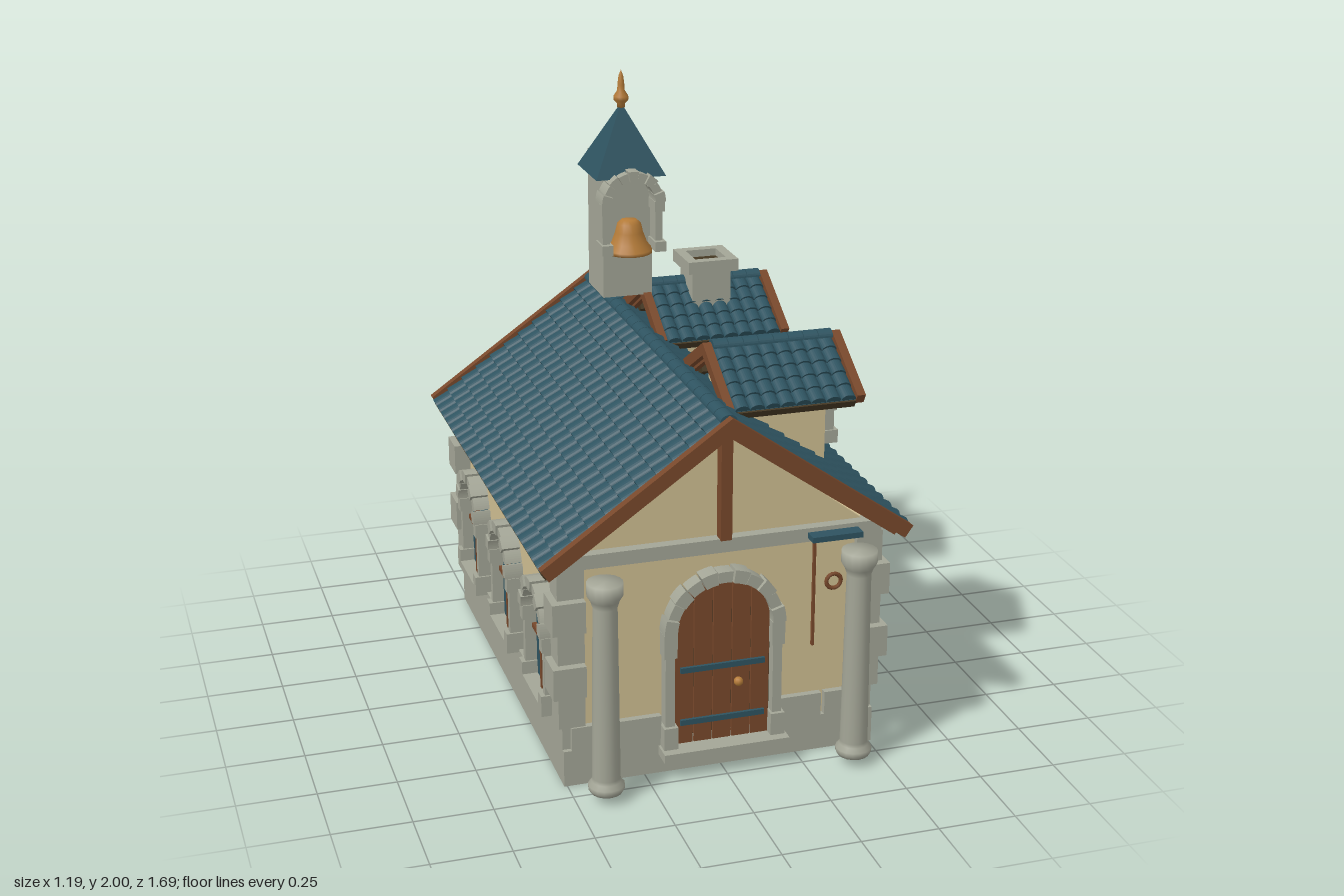
import * as THREE from 'three';
import { mergeGeometries } from 'three/addons/utils/BufferGeometryUtils.js';

const mat = (name, color) => Object.assign(new THREE.MeshStandardMaterial({ color }), { name });
const PLASTER = mat('plaster', 0xcfbe92), STONE = mat('stone', 0xa3a596), TEAL = mat('slate teal', 0x2e5360);
const WOOD = mat('wood', 0x78482b), DARK = mat('dark timber', 0x443722), GOLD = mat('brass', 0xb47b38);

const add = (parent, name, geo, material, x = 0, y = 0, z = 0) => {
  const m = new THREE.Mesh(geo, material);
  m.name = name;
  m.position.set(x, y, z);
  parent.add(m);
  return m;
};
const group = (parent, name, x = 0, y = 0, z = 0, ry = 0) => {
  const g = new THREE.Group();
  g.name = name;
  g.position.set(x, y, z);
  g.rotation.y = ry;
  parent.add(g);
  return g;
};
const box = (w, h, d, x = 0, y = 0, z = 0) => new THREE.BoxGeometry(w, h, d).translate(x, y, z);
const extrude = (shape, depth, curveSegments = 8) =>
  new THREE.ExtrudeGeometry(shape, { depth, bevelEnabled: false, curveSegments });
const poly = (pts) => new THREE.Shape(pts.map(([x, y]) => new THREE.Vector2(x, y)));
const lathe = (pts, seg) => new THREE.LatheGeometry(pts.map(([x, y]) => new THREE.Vector2(x, y)), seg);

// Half-round tile running along +z
function barrelTile(w, h, len) {
  const s = new THREE.Shape();
  s.absellipse(0, 0, w / 2, h, 0, Math.PI, false, 0);
  return extrude(s, len, 6);
}

// Round-headed plate
function archPlate(r, bottom, spring, depth) {
  const s = poly([[-r, bottom], [r, bottom], [r, spring]]);
  s.absarc(0, spring, r, 0, Math.PI, false);
  return extrude(s, depth, 14);
}

// Ring of voussoirs with jambs and foot blocks, facing +z
function stoneArch(parent, r, R, bottom, spring, depth, n) {
  const parts = [], t = R - r, mid = (r + R) / 2;
  for (let i = 0; i < n; i++) {
    const a0 = (i + 0.04) * Math.PI / n, a1 = (i + 0.96) * Math.PI / n, big = i % 2 ? 0 : 0.006;
    const s = new THREE.Shape();
    s.absarc(0, 0, R + big - 0.004, a0, a1, false);
    s.absarc(0, 0, r, a1, a0, true);
    parts.push(extrude(s, depth + big, 3).translate(0, spring, 0).toNonIndexed?.() ?? s);
  }
  add(parent, 'archStones', mergeGeometries(parts), STONE);
  const foot = (spring - bottom) * 0.2, jambs = [];
  for (const sx of [-1, 1]) {
    jambs.push(box(t * 0.75, spring - bottom, depth * 0.85, sx * mid, (spring + bottom) / 2, depth * 0.42));
    jambs.push(box(t * 1.15, foot, depth * 1.1, sx * mid, bottom + foot / 2, depth * 0.55));
    jambs.push(box(t * 1.05, foot, depth, sx * mid, spring - foot / 2, depth * 0.5));
  }
  add(parent, 'jambs', mergeGeometries(jambs), STONE);
}

// Arched window facing +z
function archWindow(parent, r, R, bottom, spring, depth, n, bar) {
  add(parent, 'glass', archPlate(r + 0.004, bottom, spring, 0.009), TEAL);
  const top = spring + r, cy = (bottom + top) / 2;
  add(parent, 'mullions', mergeGeometries([
    box(bar, top - bottom, 0.02, 0, cy, 0.015), box(2 * r, bar, 0.018, 0, cy, 0.015)]), WOOD);
  stoneArch(parent, r, R, bottom, spring, depth, n);
  add(parent, 'sill', box(2 * R, 0.028, depth + 0.01), STONE, 0, bottom - 0.008, depth / 2);
}

// Tiled gable roof, ridge along z with its apex at the local origin
function gableRoof(parent, len, half, rise, cols, rows, beam, corbels) {
  const a = Math.atan2(rise, half), L = Math.hypot(half, rise), inner = len - 0.06;
  const w = inner / cols, step = (L - 0.005) / rows;
  const tiles = [], deck = [], rakes = [], eaves = [];
  for (const side of [1, -1]) {
    const slope = (g) => g.rotateX(a).rotateY(side * Math.PI / 2);
    for (let i = 0; i < cols; i++) for (let j = 0; j < rows; j++)
      tiles.push(slope(barrelTile(w * 0.98, 0.019, step * 1.15).rotateX(-0.13)
        .translate((i + 0.5) * w - inner / 2, -0.003, j * step)));
    deck.push(slope(box(inner, 0.014, L, 0, -0.007, L / 2)));
    const start = -beam / 2 * Math.tan(a);
    for (const e of [-1, 1]) {
      rakes.push(slope(box(0.028, beam, L - start, e * (len / 2 - 0.014), 0, (L + start) / 2)));
      rakes.push(slope(box(0.02, beam * 0.5, L - 0.03, e * (len / 2 - 0.03), -beam * 0.5, L / 2 - 0.01)));
    }
    eaves.push(slope(box(inner, 0.026, 0.02, 0, -0.014, L - 0.004)));
    for (let i = 0; i < corbels; i++)
      eaves.push(slope(box(0.022, 0.025, 0.06, ((i + 0.5) / corbels - 0.5) * inner, -0.024, L - 0.045)));
  }
  for (let i = 0; i < cols; i++)
    tiles.push(barrelTile(0.054, 0.022, w * 0.95).translate(0, 0.006, i * w - inner / 2));
  add(parent, 'roofTiles', mergeGeometries(tiles), TEAL);
  add(parent, 'roofDeck', mergeGeometries(deck), TEAL);
  add(parent, 'rakeBoards', mergeGeometries(rakes), WOOD);
  add(parent, 'eaves', mergeGeometries(eaves), DARK);
}

function buildWalls(root) {
  add(root, 'base', box(1.02, 0.12, 1.44), STONE, 0, 0.06, -0.04);
  add(root, 'walls', box(0.98, 0.66, 1.4), PLASTER, 0, 0.44, -0.04);
  // Plinth stones
  const stones = [];
  const row = (from, to, n, place) => {
    const s = (to - from) / n;
    for (let i = 0; i < n; i++) stones.push(place(from + (i + 0.5) * s, s - 0.012));
  };
  for (const sx of [-1, 1]) {
    row(-0.75, 0.67, 6, (c, l) => box(0.03, 0.078, l, sx * 0.495, 0.159, c));
    row(sx * 0.34 - 0.15, sx * 0.34 + 0.15, 2, (c, l) => box(l, 0.078, 0.03, c, 0.159, 0.667));
  }
  row(-0.5, 0.5, 5, (c, l) => box(l, 0.078, 0.03, c, 0.159, -0.747));
  // Corner quoins
  for (const sx of [-1, 1]) for (const [z, sz] of [[0.665, 1], [-0.745, -1]])
    for (let i = 0; i < 5; i++) {
      const out = i % 2 ? 0.05 : 0.03, s = i % 2 ? 0.105 : 0.085;
      stones.push(box(s, 0.104, s, sx * (0.495 + out - s / 2), 0.254 + i * 0.108, z + sz * (out - 0.012 - s / 2)));
    }
  add(root, 'plinthAndQuoins', mergeGeometries(stones), STONE);
  // Gable ends
  for (const [z, s] of [[0.665, 1], [-0.745, -1]]) {
    const end = group(root, s > 0 ? 'frontGable' : 'backGable', 0, 0, z, s > 0 ? 0 : Math.PI);
    add(end, 'gableWall', extrude(poly([[-0.47, 0.77], [0.47, 0.77], [0, 1.125]]), 0.02), PLASTER, 0, 0, -0.015);
    add(end, 'tieBeam', box(1.02, 0.045, 0.05), STONE, 0, 0.76, 0.015);
    add(end, 'kingPost', box(0.036, 0.37, 0.04), WOOD, 0, 0.965, 0.03);
  }
}

function buildFront(root) {
  const door = group(root, 'door', 0, 0, 0.665);
  add(door, 'doorLeaf', archPlate(0.158, 0.09, 0.49, 0.012), DARK);
  // Planks follow the arch
  for (let i = -2; i <= 2; i++) {
    const x0 = i * 0.062 - 0.029, x1 = x0 + 0.058, top = (x) => 0.49 + Math.sqrt(Math.max(0, 0.157 ** 2 - x * x));
    add(door, 'plank', extrude(poly([[x0, 0.09], [x1, 0.09], [x1, top(x1)], [(x0 + x1) / 2, top((x0 + x1) / 2)], [x0, top(x0)]]), 0.022), WOOD);
  }
  for (const y of [0.17, 0.35]) add(door, 'ironBand', box(0.275, 0.018, 0.012), TEAL, 0, y, 0.026);
  add(door, 'knob', new THREE.SphereGeometry(0.015, 10, 8), GOLD, 0.05, 0.29, 0.034);
  stoneArch(door, 0.155, 0.195, 0.09, 0.485, 0.05, 11);
  add(door, 'doorStep', box(0.41, 0.03, 0.08), STONE, 0, 0.08, 0.045);
  // Porch columns
  const profile = [[0, 0.03], [0.05, 0.03], [0.057, 0.042], [0.057, 0.055], [0.046, 0.068], [0.044, 0.08],
    [0.038, 0.65], [0.045, 0.672], [0.056, 0.69], [0.056, 0.73], [0, 0.73]];
  for (const sx of [-1, 1]) add(root, 'column', lathe(profile, 16), STONE, sx * 0.405, 0, 0.79);
  // Hanging banner with ring
  const sign = group(root, 'banner', 0.35, 0, 0.705);
  add(sign, 'bracket', box(0.165, 0.018, 0.06), TEAL, 0, 0.76, 0.015);
  add(sign, 'pole', box(0.008, 0.37, 0.012), WOOD, -0.06, 0.57, 0);
  add(sign, 'cloth', extrude(poly([[-0.056, 0.42], [-0.02, 0.39], [0.025, 0.38], [0.01, 0.74], [-0.056, 0.74]]), 0.008), PLASTER);
  add(sign, 'ring', new THREE.TorusGeometry(0.024, 0.007, 6, 14), WOOD, -0.002, 0.605, 0.02);
}

function buildDormer(root, z) {
  const d = group(root, 'dormer', 0, 0, z, Math.PI / 2); // local +z looks to +x
  add(d, 'dormerWalls', extrude(poly([[-0.135, 0.87], [0.135, 0.87], [0.135, 1.16], [0, 1.235], [-0.135, 1.16]]), 0.3), PLASTER, 0, 0, 0.12);
  archWindow(group(d, 'dormerWindow', 0, 0, 0.42), 0.076, 0.108, 0.955, 1.065, 0.05, 9, 0.013);
  gableRoof(group(d, 'dormerRoof', 0, 1.253, 0.285), 0.46, 0.225, 0.135, 8, 5, 0.036, 7);
}

function buildBellTower(root) {
  const t = group(root, 'bellTower', 0, 0, -0.4375);
  add(t, 'shaft', box(0.17, 0.475, 0.185), STONE, 0, 1.4775, 0);
  stoneArch(group(t, 'bellArch', 0, 0, 0.0925), 0.075, 0.108, 1.41, 1.58, 0.075, 9);
  add(t, 'bell', lathe([[0, 1.405], [0.078, 1.4], [0.078, 1.412], [0.06, 1.435], [0.047, 1.47], [0.04, 1.5], [0.025, 1.513], [0, 1.515]], 18), GOLD, 0, 0, 0.11);
  const spire = new THREE.ConeGeometry(0.12 * Math.SQRT2, 0.23, 4).toNonIndexed().rotateY(Math.PI / 4);
  spire.computeVertexNormals();
  add(t, 'spire', spire, TEAL, 0, 1.775, 0.0225);
  add(t, 'finial', lathe([[0, 1.87], [0.014, 1.875], [0.014, 1.888], [0.025, 1.9], [0.025, 1.912], [0.013, 1.93], [0.012, 1.95], [0.008, 1.98], [0, 2]], 12), GOLD, 0, 0, 0.0225);
}

function buildChimney(root) {
  const c = group(root, 'chimney', 0.28, 0, -0.357);
  const ring = (half, hole, h) => {
    const s = poly([[-half, -half], [half, -half], [half, half], [-half, half]]);
    s.holes.push(poly([[-hole, -hole], [-hole, hole], [hole, hole], [hole, -hole]]));
    return extrude(s, h).rotateX(-Math.PI / 2);
  };
  add(c, 'stack', box(0.135, 0.2, 0.135), STONE, 0, 1.22, 0);
  add(c, 'cap', ring(0.088, 0.054, 0.042), STONE, 0, 1.318, 0);
  add(c, 'flue', box(0.11, 0.01, 0.11), DARK, 0, 1.33, 0);
}

export function createModel() {
  const root = new THREE.Group();
  root.name = 'chapel';
  buildWalls(root);
  buildFront(root);
  gableRoof(group(root, 'mainRoof', 0, 1.163, -0.04), 1.6, 0.58, 0.408, 23, 11, 0.045, 13);
  // Side and back windows
  const win = (x, z, ry) => archWindow(group(root, 'window', x, 0, z, ry), 0.107, 0.142, 0.21, 0.455, 0.055, 9, 0.016);
  for (const s of [-1, 1]) {
    for (const z of [0.42, -0.04, -0.507]) win(s * 0.49, z, s * Math.PI / 2);
    win(s * 0.24, -0.74, Math.PI);
  }
  for (const z of [0.3, -0.392]) buildDormer(root, z);
  buildChimney(root);
  buildBellTower(root);
  return root;
}
